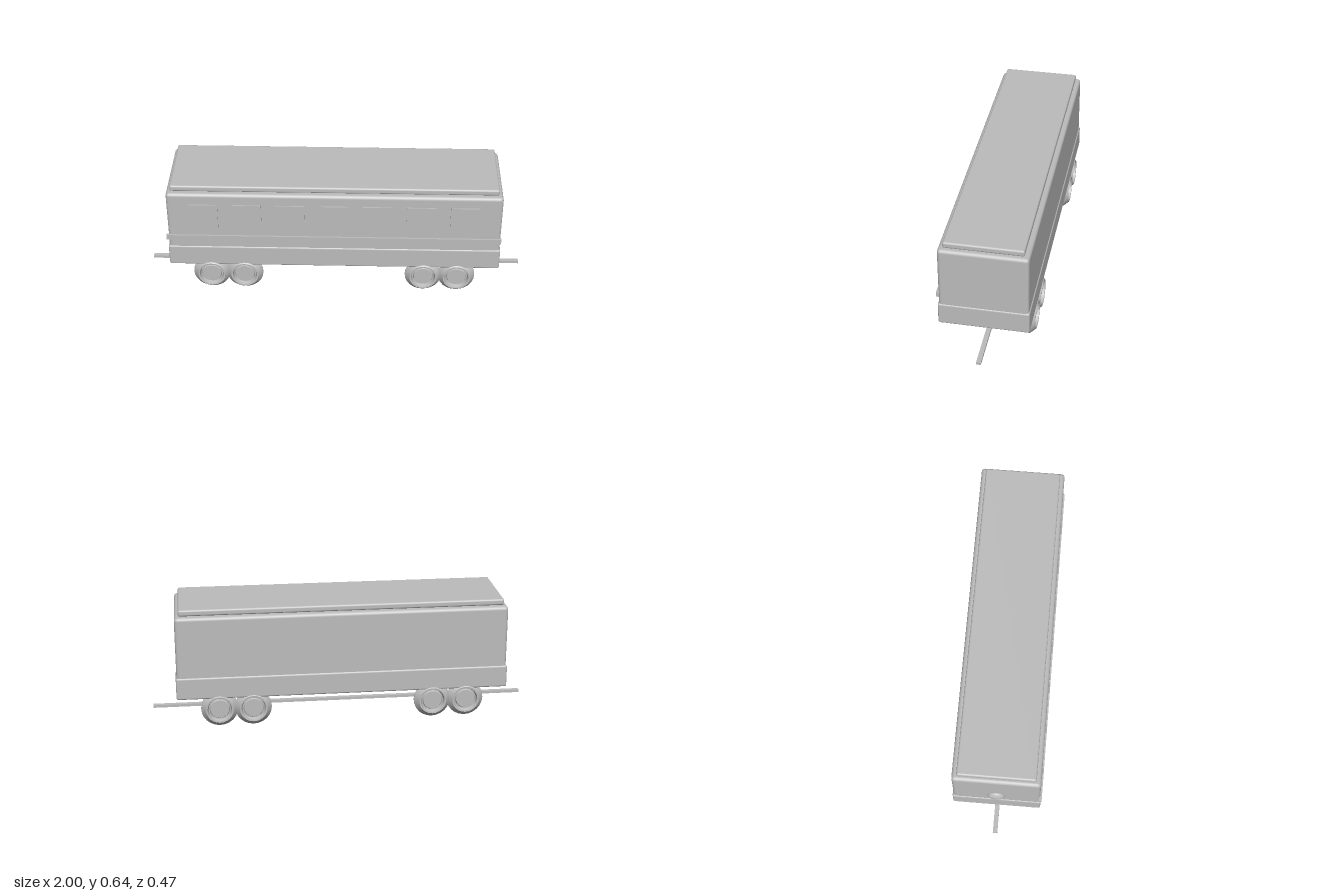
import * as THREE from 'three';
import { toCreasedNormals } from 'three/addons/utils/BufferGeometryUtils.js';
import { RoundedBoxGeometry } from 'three/addons/geometries/RoundedBoxGeometry.js';

export function createModel() {
  const model = new THREE.Group();
  model.name = 'railCarriage';
  const grey = new THREE.MeshStandardMaterial({ color: 0xbcbcbc });
  grey.name = 'grey';

  const add = (name, geometry, x, y, z, parent = model) => {
    const mesh = new THREE.Mesh(geometry, grey);
    mesh.name = name;
    mesh.position.set(x, y, z);
    parent.add(mesh);
    return mesh;
  };

  // Box given by its lower and upper corners, with optional rounded edges
  const block = (name, [x0, y0, z0], [x1, y1, z1], radius = 0) => {
    const size = [x1 - x0, y1 - y0, z1 - z0];
    const geometry = radius
      ? new RoundedBoxGeometry(...size, 3, radius)
      : new THREE.BoxGeometry(...size);
    return add(name, geometry, (x0 + x1) / 2, (y0 + y1) / 2, (z0 + z1) / 2);
  };

  // Coach body, lower skirt and roof slab
  block('body', [-0.87, 0.17, -0.233], [0.867, 0.606, 0.216], 0.018);
  block('skirt', [-0.875, 0.16, -0.238], [0.871, 0.28, 0.22], 0.01);
  block('roof', [-0.85, 0.608, -0.208], [0.846, 0.641, 0.192], 0.01);

  // Trim rail along the front side
  block('trimRail', [-0.88, 0.325, 0.21], [0.87, 0.353, 0.225]);

  // Row of seven windows on the front side
  for (let i = 0; i < 7; i++) {
    const x = -0.68 + i * 0.2258;
    block('window', [x - 0.075, 0.398, 0.214], [x + 0.075, 0.545, 0.223]);
  }

  // Round lamp on the left-hand end wall
  const lamp = add('endLamp', new THREE.SphereGeometry(0.045, 24, 16), -0.87, 0.36, -0.01);
  lamp.scale.x = 0.48;

  // Drawbar running under the whole carriage
  block('drawbar', [-1, 0.034, -0.02], [1, 0.048, 0.004]);

  // Wheel section: recessed hub, raised rim and chamfered tyre
  const half = [
    [0, 0.02], [0.049, 0.02], [0.053, 0.012], [0.058, 0.012], [0.064, 0.032],
    [0.072, 0.033], [0.086, 0.017], [0.097, 0.004],
  ];
  const profile = [
    ...half.map(([r, a]) => new THREE.Vector2(r, -a)),
    ...half.slice().reverse().map(([r, a]) => new THREE.Vector2(r, a)),
  ];
  const wheelGeometry = toCreasedNormals(new THREE.LatheGeometry(profile, 24), 0.45);
  wheelGeometry.rotateX(Math.PI / 2);

  // Two pairs of wheels on each side
  for (const [side, z] of [['front', 0.193], ['back', -0.209]]) {
    const row = new THREE.Group();
    row.name = side + 'Wheels';
    model.add(row);
    for (const x of [-0.655, -0.478, 0.472, 0.649]) add('wheel', wheelGeometry, x, 0.098, z, row);
  }

  return model;
}
